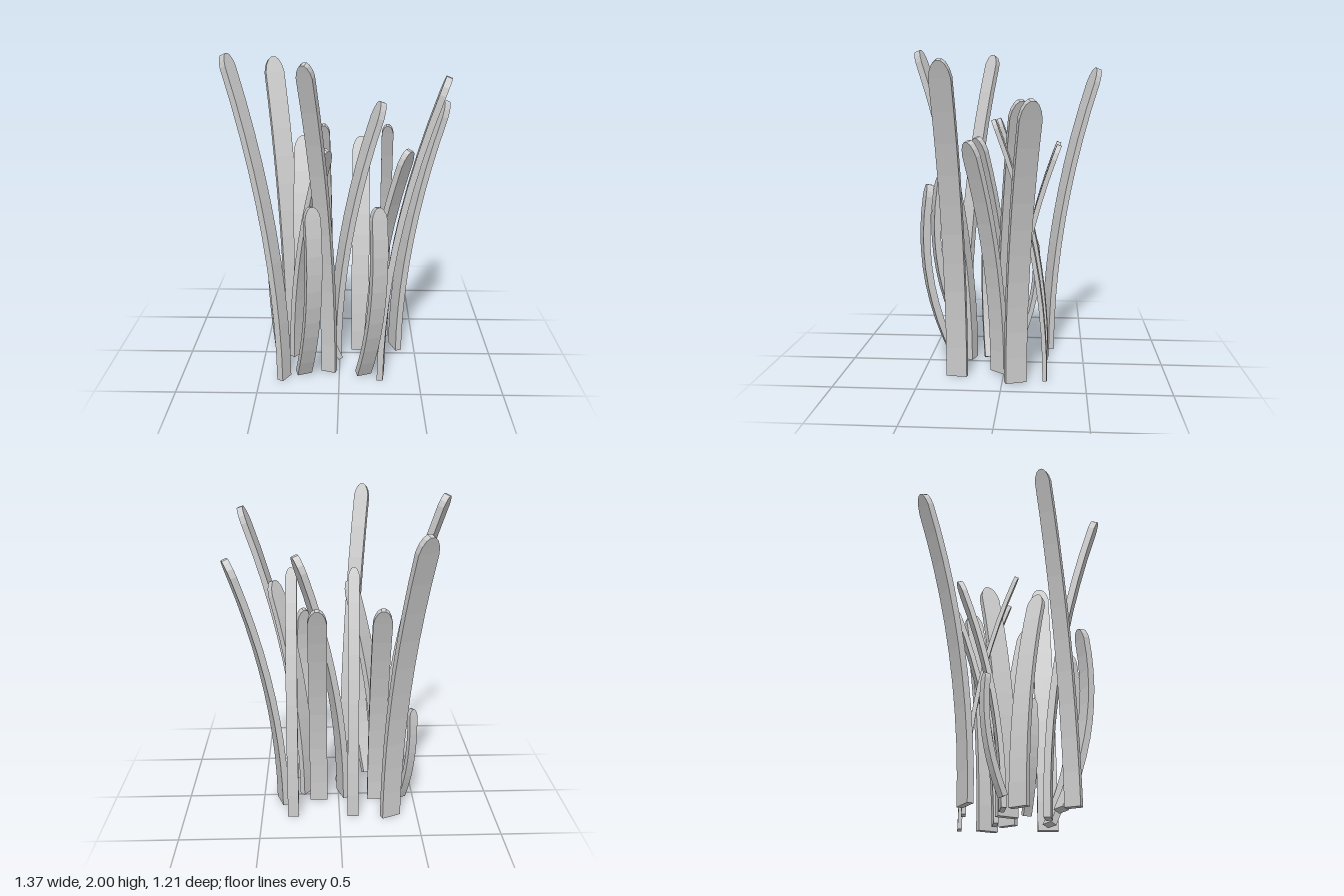
import * as THREE from 'three';

const material = new THREE.MeshStandardMaterial({ color: 0xcccccc, flatShading: true });

// Rounded tip: [distance below the apex, share of the full width]
const TIP = [[0.085, 1], [0.045, 0.83], [0.015, 0.55], [0, 0.22]];
const BODY_ROWS = 10;

// A flat blade that leans toward +z along z = t/2 + slope*u + bend*u*u, inner edge of its foot at the origin
function bladeGeometry({ height, width, thick, slope = 0, bend, lift = 0 }) {
  const rise = height - lift;
  const tipScale = width / 0.115;
  const rows = [];
  for (let i = 0; i < BODY_ROWS; i++) rows.push([(rise - TIP[0][0] * tipScale) * i / BODY_ROWS, 1]);
  for (const [drop, share] of TIP) rows.push([rise - drop * tipScale, share]);

  const n = rows.length - 1;
  const geometry = new THREE.BoxGeometry(width, 1, thick, 1, n, 1);
  const p = geometry.attributes.position;
  for (let i = 0; i < p.count; i++) {
    const [u, share] = rows[Math.round((p.getY(i) + 0.5) * n)];
    const lean = Math.atan(slope + 2 * bend * u);
    const off = p.getZ(i);
    p.setXYZ(i,
      p.getX(i) * share,
      lift + u - off * Math.sin(lean),
      thick / 2 + slope * u + bend * u * u + off * Math.cos(lean));
  }
  geometry.computeVertexNormals();
  return geometry;
}

// Each kind of blade with its places: [foot x, foot z, lean direction x, lean direction z]
const KINDS = [
  { name: 'tallNarrowBlade', height: 1.995, width: 0.092, thick: 0.042, bend: 0.0925,
    at: [[-0.33, 0.326, -0.86, -0.51], [-0.058, 0.207, -0.31, 0.95]] },
  { name: 'tallWideBlade', height: 1.895, width: 0.127, thick: 0.038, bend: 0.097,
    at: [[-0.32, -0.25, -0.39, -0.92], [0.243, 0.281, 0.99, 0.11]] },
  { name: 'broadBlade', height: 1.68, width: 0.13, thick: 0.04, bend: 0.11, lift: 0.01,
    at: [[-0.048, 0, 0.945, -0.33], [0.352, -0.075, 0.945, -0.33]] },
  { name: 'slenderBlade', height: 1.57, width: 0.07, thick: 0.026, bend: 0.126,
    at: [[-0.086, -0.273, -0.035, 1], [0.298, -0.27, -0.035, 1]] },
  { name: 'middleBlade', height: 1.45, width: 0.113, thick: 0.036, bend: 0.126, lift: 0.01,
    at: [[-0.294, 0.018, 0.78, 0.62], [0.193, 0.018, 0.78, 0.62]] },
  { name: 'backBlade', height: 1.415, width: 0.115, thick: 0.03, bend: 0.137,
    at: [[-0.25, -0.043, 0, -1], [0.133, -0.043, 0, -1]] },
  { name: 'archedBlade', height: 1.18, width: 0.095, thick: 0.042, slope: 0.52, bend: -0.31, lift: 0.015,
    at: [[-0.234, 0.25, 0.37, 0.93], [0.145, 0.253, 0.37, 0.93]] },
  { name: 'smallBlade', height: 0.715, width: 0.052, thick: 0.034, slope: 0.45, bend: -0.43, lift: 0.03,
    at: [[-0.41, -0.06, -0.39, -0.92], [0.016, 0.106, -0.97, 0.26]] },
];

export function createModel() {
  const group = new THREE.Group();
  group.name = 'grassTuft';
  for (const kind of KINDS) {
    const geometry = bladeGeometry(kind);
    kind.at.forEach(([x, z, dx, dz], i) => {
      const blade = new THREE.Mesh(geometry, material);
      blade.name = kind.name + (i + 1);
      blade.position.set(x, 0, z);
      blade.rotation.y = Math.atan2(dx, dz);
      group.add(blade);
    });
  }
  return group;
}
